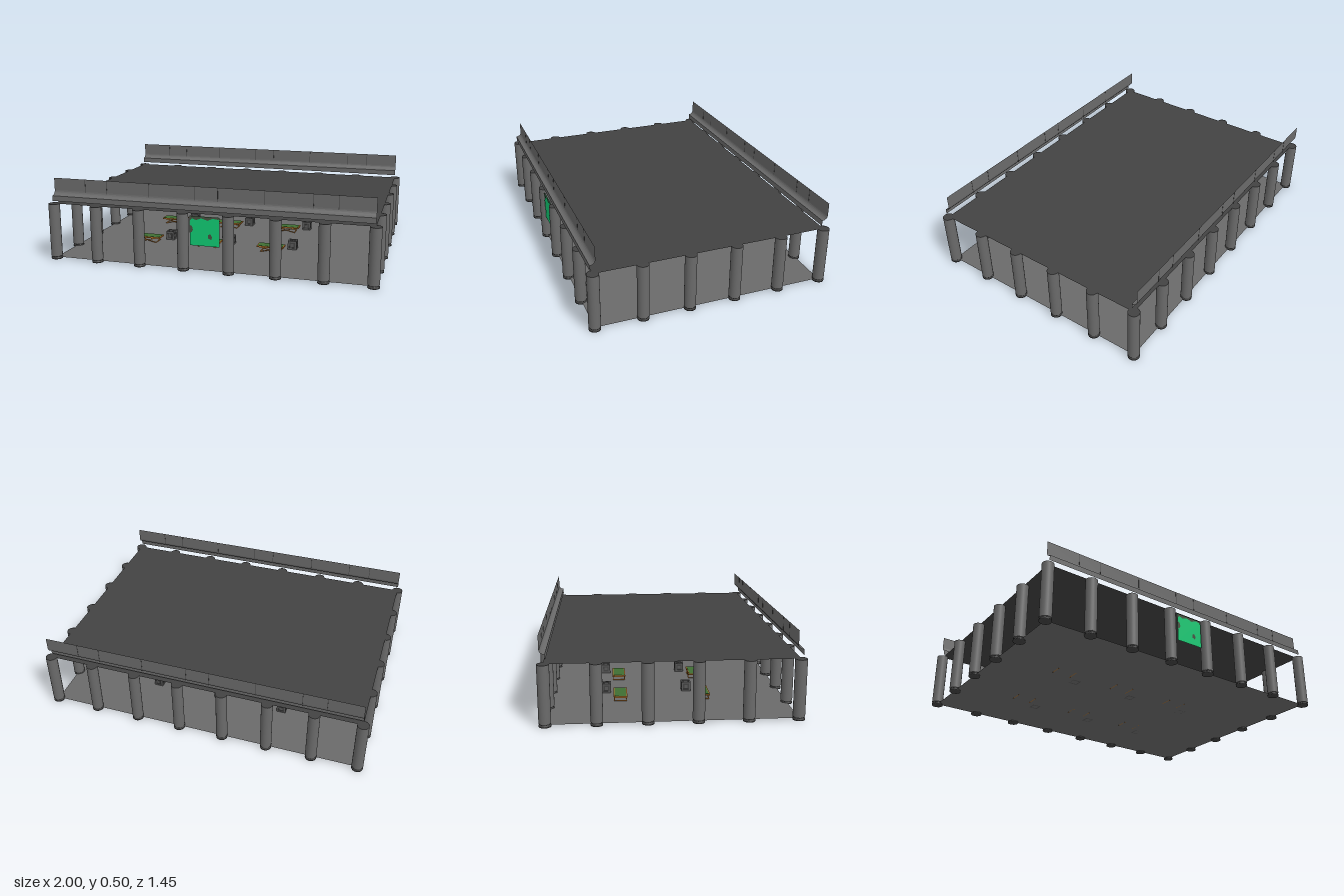
import * as THREE from 'three';

const mat = (name, color, side = THREE.FrontSide) => {
  const m = new THREE.MeshStandardMaterial({ color, side });
  m.name = name;
  return m;
};

export function createModel() {
  const stone = mat('stone', 0x6a6a6a, THREE.DoubleSide);
  const dark = mat('dark stone', 0x424242, THREE.DoubleSide);
  const banner = mat('banner green', 0x10c872, THREE.DoubleSide);
  const patch = mat('worn patch', 0x45503f, THREE.DoubleSide);
  const wood = mat('wood', 0xb0702a);
  const felt = mat('table green', 0x3f6e33);
  const metal = mat('crate grey', 0x585858);

  const model = new THREE.Group();
  model.name = 'pavilion';
  const W = 0.965, D = 0.69, TOP = 0.345, FLOOR = 0.008;

  const add = (parent, name, geo, material, x = 0, y = 0, z = 0) => {
    const m = new THREE.Mesh(geo, material);
    m.name = name;
    m.position.set(x, y, z);
    parent.add(m);
    return m;
  };
  const box = (parent, name, w, h, d, material, x, y, z) =>
    add(parent, name, new THREE.BoxGeometry(w, h, d), material, x, y, z);

  // Floor and roof sheets
  const sheet = new THREE.PlaneGeometry(2 * W, 2 * D).rotateX(-Math.PI / 2);
  add(model, 'floor', sheet, stone, 0, FLOOR, 0);
  add(model, 'roof', sheet, dark, 0, TOP, 0);

  // Columns around the edge: shaft, grooved base and dark cap
  const v = (r, y) => new THREE.Vector2(r, y);
  const shaftGeo = new THREE.CylinderGeometry(0.034, 0.034, TOP - 0.02, 24, 1, true);
  const baseGeo = new THREE.LatheGeometry(
    [v(0, 0), v(0.034, 0), v(0.034, 0.008), v(0.03, 0.012), v(0.03, 0.016), v(0.034, 0.02)], 24);
  const capGeo = new THREE.CircleGeometry(0.034, 24).rotateX(-Math.PI / 2);
  const column = (x, z) => {
    const g = new THREE.Group();
    g.name = 'column';
    g.position.set(x, 0, z);
    add(g, 'columnShaft', shaftGeo, stone, 0, (TOP + 0.02) / 2, 0);
    add(g, 'columnBase', baseGeo, dark);
    add(g, 'columnCap', capGeo, dark, 0, TOP - 0.001, 0);
    model.add(g);
  };
  for (let i = 0; i < 8; i++) {
    const x = -W + (i * 2 * W) / 7;
    column(x, D);
    column(x, -D);
  }
  for (let i = 1; i < 5; i++) {
    const z = -D + (i * 2 * D) / 5;
    column(W, z);
    column(-W, z);
  }

  // Cornice: board, cove and lower fascia, swept along x in panels
  const profile = [[0.5, 0], [0.425, 0]];
  for (let i = 1; i <= 6; i++) {
    const a = (i / 6) * Math.PI / 2;
    profile.push([0.425 - 0.029 * Math.sin(a), 0.032 * (1 - Math.cos(a))]);
  }
  profile.push([0.364, 0.032]);
  const cornicePanel = (x0, x1) => {
    const pos = [];
    for (let i = 0; i < profile.length - 1; i++) {
      const [ya, za] = profile[i], [yb, zb] = profile[i + 1];
      pos.push(x0, ya, za, x0, yb, zb, x1, yb, zb, x0, ya, za, x1, yb, zb, x1, ya, za);
    }
    const geo = new THREE.BufferGeometry();
    geo.setAttribute('position', new THREE.Float32BufferAttribute(pos, 3));
    geo.computeVertexNormals();
    return geo;
  };
  const seams = [-W, -0.76, -0.62, -0.35, -0.07, 0.07, 0.345, 0.62, 0.76, W];
  for (const z of [0.672, -0.709]) {
    const g = new THREE.Group();
    g.name = z > 0 ? 'frontCornice' : 'backCornice';
    g.position.z = z;
    for (let i = 0; i < seams.length - 1; i++) {
      add(g, 'cornicePanel', cornicePanel(seams[i], seams[i + 1]), stone);
      if (i) box(g, 'corniceSeam', 0.003, 0.09, 0.002, dark, seams[i], 0.455, 0);
    }
    model.add(g);
  }

  // Hanging banner with worn patches on both faces
  const flag = new THREE.Group();
  flag.name = 'banner';
  flag.position.set(0, 0.245, 0.7);
  add(flag, 'bannerCloth', new THREE.PlaneGeometry(0.18, 0.175), banner);
  const patches = [
    [[-0.09, 0.0875], [0.09, 0.0875], [0.085, 0.075], [0.05, 0.08], [0.02, 0.066],
      [-0.02, 0.077], [-0.05, 0.065], [-0.075, 0.074], [-0.09, 0.06]],
    [[-0.09, 0.035], [-0.076, 0.028], [-0.07, 0.008], [-0.078, -0.008], [-0.09, -0.012]],
    [[0.02, -0.02], [0.034, -0.012], [0.045, -0.03], [0.04, -0.046], [0.022, -0.04]],
  ];
  for (const p of patches) {
    const geo = new THREE.ShapeGeometry(new THREE.Shape(p.map(([x, y]) => v(x, y))));
    for (const z of [0.002, -0.002]) add(flag, 'bannerPatch', geo, patch, 0, 0, z);
  }
  model.add(flag);

  // Picnic tables with crossed legs
  const table = (x, z) => {
    const g = new THREE.Group();
    g.name = 'table';
    g.position.set(x, FLOOR, z);
    box(g, 'tableTop', 0.172, 0.008, 0.08, wood, 0, 0.032, 0);
    box(g, 'tableCloth', 0.158, 0.002, 0.068, felt, 0, 0.0368, 0);
    for (const s of [-1, 1]) {
      for (const t of [-1, 1]) {
        const leg = box(g, 'tableLeg', 0.125, 0.004, 0.005, wood, 0, 0.015, s * 0.036);
        leg.rotation.z = t * 0.235;
      }
      box(g, 'tableFootBar', 0.005, 0.004, 0.076, wood, s * 0.059, 0.002, 0);
    }
    model.add(g);
  };

  // Crates with raised edge frames
  const crate = (x, z) => {
    const g = new THREE.Group();
    g.name = 'crate';
    g.position.set(x, FLOOR + 0.028, z);
    box(g, 'crateCore', 0.048, 0.048, 0.048, dark, 0, 0, 0);
    for (const a of [-1, 1]) for (const b of [-1, 1]) {
      const p = a * 0.023, q = b * 0.023;
      box(g, 'crateEdge', 0.054, 0.01, 0.01, metal, 0, p, q);
      box(g, 'crateEdge', 0.01, 0.054, 0.01, metal, p, 0, q);
      box(g, 'crateEdge', 0.01, 0.01, 0.054, metal, p, q, 0);
    }
    box(g, 'cratePlate', 0.053, 0.018, 0.018, metal, 0, 0, 0);
    box(g, 'cratePlate', 0.018, 0.053, 0.018, metal, 0, 0, 0);
    box(g, 'cratePlate', 0.018, 0.018, 0.053, metal, 0, 0, 0);
    model.add(g);
  };

  for (const z of [0.208, -0.277]) {
    for (const x of [-0.552, -0.14, 0.275]) {
      table(x, z);
      crate(x + 0.124, z - 0.082);
    }
  }
  return model;
}
